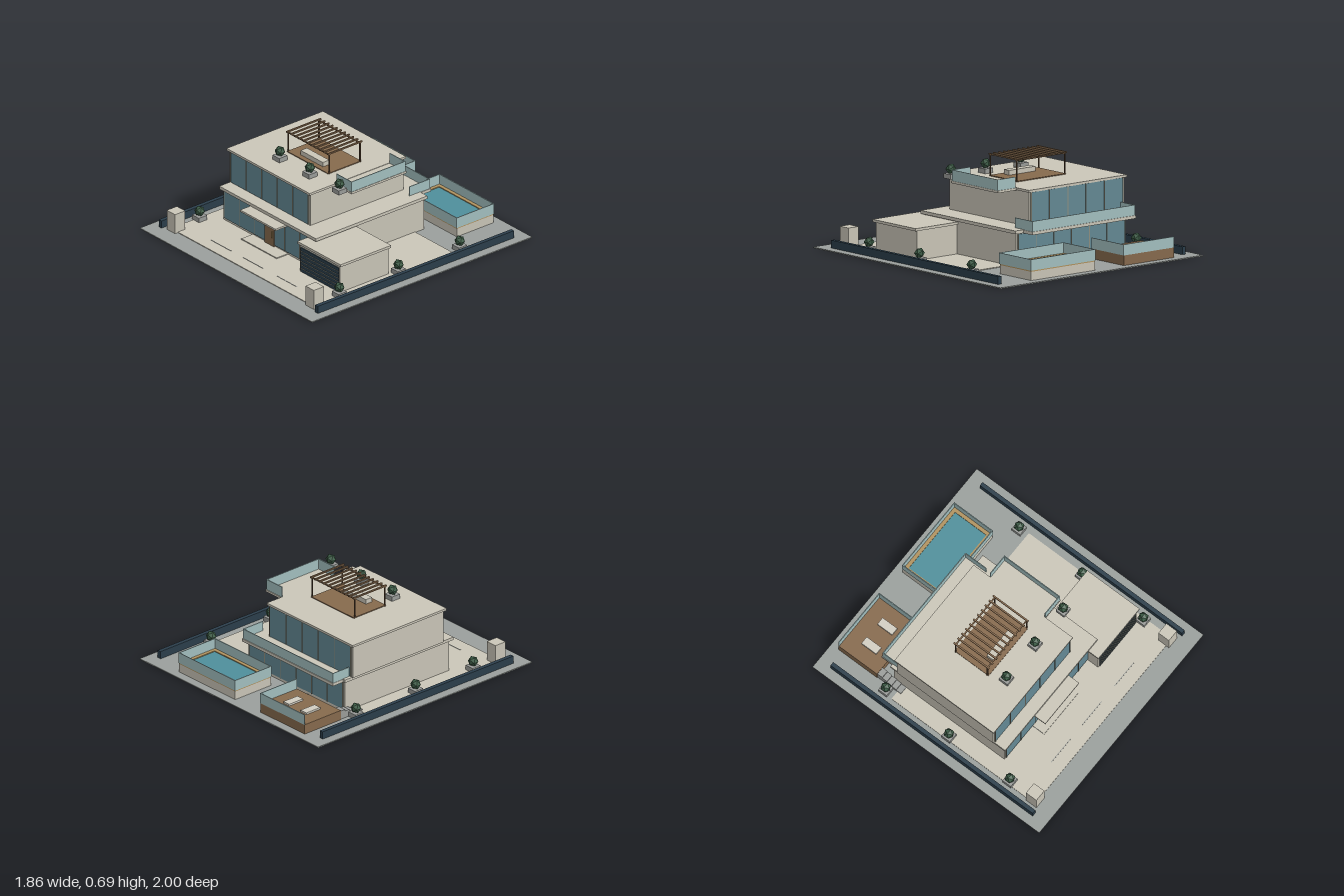
import * as THREE from 'three';

const mat = (color, extra = {}) => new THREE.MeshStandardMaterial({ color, ...extra });
const M = {
  ground: mat(0x9a9f9c), wall: mat(0xcac6b8), window: mat(0x648994), rail: mat(0xa3c0c0),
  wood: mat(0x866a4d), darkWood: mat(0x5f4833), trim: mat(0xb0925f), mullion: mat(0x8f8f80),
  water: mat(0x4f8f9b), navy: mat(0x2b3e4b), stone: mat(0x9b9d9a), leaf: mat(0x3f6049, { flatShading: true }),
  lounger: mat(0xd2cec2),
};

// Box given by its minimum and maximum along each axis
function box(parent, name, material, x0, x1, y0, y1, z0, z1) {
  const mesh = new THREE.Mesh(new THREE.BoxGeometry(x1 - x0, y1 - y0, z1 - z0), material);
  mesh.position.set((x0 + x1) / 2, (y0 + y1) / 2, (z0 + z1) / 2);
  mesh.name = name;
  parent.add(mesh);
  return mesh;
}

function group(parent, name) {
  const g = new THREE.Group();
  g.name = name;
  parent.add(g);
  return g;
}

// Thin panels around a rectangle; sides is a string of f, b, l, r (l = +x)
function railing(parent, name, sides, x0, x1, y0, y1, z0, z1, t = 0.006, material = M.rail) {
  const g = group(parent, name);
  if (sides.includes('f')) box(g, 'frontPanel', material, x0, x1, y0, y1, z1 - t, z1);
  if (sides.includes('b')) box(g, 'backPanel', material, x0, x1, y0, y1, z0, z0 + t);
  if (sides.includes('l')) box(g, 'leftPanel', material, x1 - t, x1, y0, y1, z0, z1);
  if (sides.includes('r')) box(g, 'rightPanel', material, x0, x0 + t, y0, y1, z0, z1);
}

// Glazed wall with evenly spaced mullions, centred on the plane z
function glazing(parent, name, x0, x1, y0, y1, z, panes) {
  const g = group(parent, name);
  box(g, 'glass', M.window, x0, x1, y0, y1, z - 0.003, z + 0.003);
  for (let i = 0; i <= panes; i++) {
    const x = x0 + (x1 - x0) * i / panes;
    box(g, 'mullion', M.mullion, x - 0.003, x + 0.003, y0, y1, z - 0.006, z + 0.006);
  }
}

function planter(parent, x, y, z) {
  const g = group(parent, 'planter');
  box(g, 'pot', M.stone, -0.037, 0.037, 0, 0.034, -0.037, 0.037);
  const bush = new THREE.Mesh(new THREE.IcosahedronGeometry(0.038, 0), M.leaf);
  bush.name = 'bush';
  bush.position.y = 0.066;
  g.add(bush);
  g.position.set(x, y, z);
}

function buildSite(root) {
  const g = group(root, 'site');
  box(g, 'ground', M.ground, -0.93, 0.93, 0, 0.008, -1, 1);
  box(g, 'paving', M.wall, -0.78, 0.775, 0.008, 0.013, -0.42, 0.845);
  for (const x of [-0.358, -0.008, 0.358]) box(g, 'pavingJoint', M.stone, x - 0.11, x + 0.11, 0.013, 0.015, 0.743, 0.748);
  for (const s of [-1, 1]) {
    box(g, 'boundaryWall', M.navy, s * 0.845 - 0.015, s * 0.845 + 0.015, 0.008, 0.064, -0.895, 0.888);
    box(g, 'gatePillar', M.wall, s * 0.75 - 0.045, s * 0.75 + 0.045, 0.008, 0.157, 0.778, 0.87);
    for (const z of [-0.49, 0.067, 0.605]) planter(g, s * 0.755, 0.013, z);
  }
}

function buildGroundFloor(root) {
  const g = group(root, 'groundFloor');
  box(g, 'groundFloorWalls', M.wall, -0.65, 0.355, 0.008, 0.248, -0.5, 0.475);
  glazing(g, 'frontWindows', -0.635, 0.34, 0.03, 0.242, 0.478, 6);
  glazing(g, 'backWindows', -0.635, 0.34, 0.03, 0.242, -0.503, 6);
  box(g, 'floorSlab', M.wall, -0.67, 0.375, 0.248, 0.271, -0.515, 0.497);
  box(g, 'balconySlab', M.wall, -0.648, 0.3, 0.246, 0.268, -0.61, -0.5);
  railing(g, 'balconyRailing', 'blr', -0.645, 0.296, 0.268, 0.342, -0.605, -0.42);
  // Entrance
  box(g, 'entranceCanopy', M.wall, -0.335, 0.048, 0.234, 0.248, 0.46, 0.59);
  box(g, 'entranceStep', M.wall, -0.335, 0.048, 0.013, 0.02, 0.47, 0.58);
  box(g, 'frontDoor', M.wood, -0.195, -0.092, 0.02, 0.2, 0.475, 0.488);
  box(g, 'doorLintel', M.trim, -0.205, -0.082, 0.209, 0.217, 0.475, 0.492);
  box(g, 'doorHandle', M.trim, -0.112, -0.106, 0.085, 0.135, 0.488, 0.496);
}

function buildGarage(root) {
  const g = group(root, 'garage');
  box(g, 'garageWalls', M.wall, 0.288, 0.722, 0.008, 0.222, 0.13, 0.57);
  box(g, 'garageRoof', M.wall, 0.275, 0.742, 0.222, 0.241, 0.122, 0.583);
  box(g, 'garageDoor', M.navy, 0.302, 0.71, 0.014, 0.202, 0.568, 0.576);
  for (let i = 1; i < 7; i++) {
    const y = 0.014 + i * 0.188 / 7;
    box(g, 'doorSlat', M.mullion, 0.302, 0.71, y - 0.0015, y + 0.0015, 0.576, 0.579);
  }
}

function buildUpperFloor(root) {
  const g = group(root, 'upperFloor');
  box(g, 'upperFloorWalls', M.wall, -0.678, 0.195, 0.268, 0.514, -0.45, 0.398);
  glazing(g, 'frontWindows', -0.66, 0.18, 0.276, 0.511, 0.401, 5);
  glazing(g, 'backWindows', -0.66, 0.18, 0.276, 0.511, -0.453, 5);
  box(g, 'roofSlab', M.wall, -0.692, 0.205, 0.513, 0.53, -0.463, 0.412);
  box(g, 'terraceSlab', M.wall, 0.2, 0.373, 0.511, 0.527, -0.325, 0.172);
  railing(g, 'terraceRailing', 'fbl', 0.205, 0.37, 0.527, 0.605, -0.32, 0.17);
  for (const x of [-0.323, 0, 0.32]) planter(g, x, 0.53, 0.238);
}

function buildPergola(root) {
  const g = group(root, 'pergola');
  const x0 = -0.38, x1 = 0.063, z0 = -0.165, z1 = 0.115;
  box(g, 'pergolaDeck', M.wood, x0, x1, 0.53, 0.536, z0 - 0.01, z1 + 0.01);
  for (const z of [z0, z1]) {
    for (const x of [x0, x1]) box(g, 'post', M.darkWood, x - 0.004, x + 0.004, 0.53, 0.68, z - 0.004, z + 0.004);
    box(g, 'beam', M.wood, x0 - 0.005, x1 + 0.005, 0.676, 0.684, z - 0.005, z + 0.005);
  }
  for (let i = 0; i <= 10; i++) {
    const x = x0 + (x1 - x0) * i / 10;
    box(g, 'slat', M.wood, x - 0.006, x + 0.006, 0.682, 0.692, z0 - 0.017, z1 + 0.015);
  }
  box(g, 'bench', M.wall, -0.278, -0.037, 0.536, 0.57, 0.03, 0.088);
}

function buildPool(root) {
  const g = group(root, 'pool');
  box(g, 'poolBase', M.wall, 0.008, 0.592, 0.008, 0.07, -0.935, -0.6);
  box(g, 'water', M.water, 0.035, 0.562, 0.07, 0.076, -0.908, -0.625);
  railing(g, 'poolRim', 'fblr', 0.008, 0.592, 0.07, 0.082, -0.935, -0.6, 0.03, M.trim);
  railing(g, 'poolRailing', 'fblr', 0.005, 0.595, 0.078, 0.157, -0.938, -0.597);
}

function buildSunDeck(root) {
  const g = group(root, 'sunDeck');
  box(g, 'deck', M.wood, -0.717, -0.258, 0.008, 0.08, -0.935, -0.597);
  railing(g, 'deckRailing', 'bl', -0.717, -0.255, 0.08, 0.157, -0.938, -0.597);
  for (const x of [-0.577, -0.397]) box(g, 'lounger', M.lounger, x - 0.03, x + 0.03, 0.08, 0.094, -0.82, -0.69);
  // Stairs rising from the side path to the deck
  for (let i = 0; i < 5; i++) {
    const z = -0.39 - i * 0.041;
    box(g, 'stair', M.stone, -0.712, -0.652, 0.008, 0.02 + i * 0.013, z - 0.043, z);
  }
}

export function createModel() {
  const root = new THREE.Group();
  root.name = 'modernVilla';
  [buildSite, buildGroundFloor, buildGarage, buildUpperFloor, buildPergola, buildPool, buildSunDeck]
    .forEach((build) => build(root));
  return root;
}
